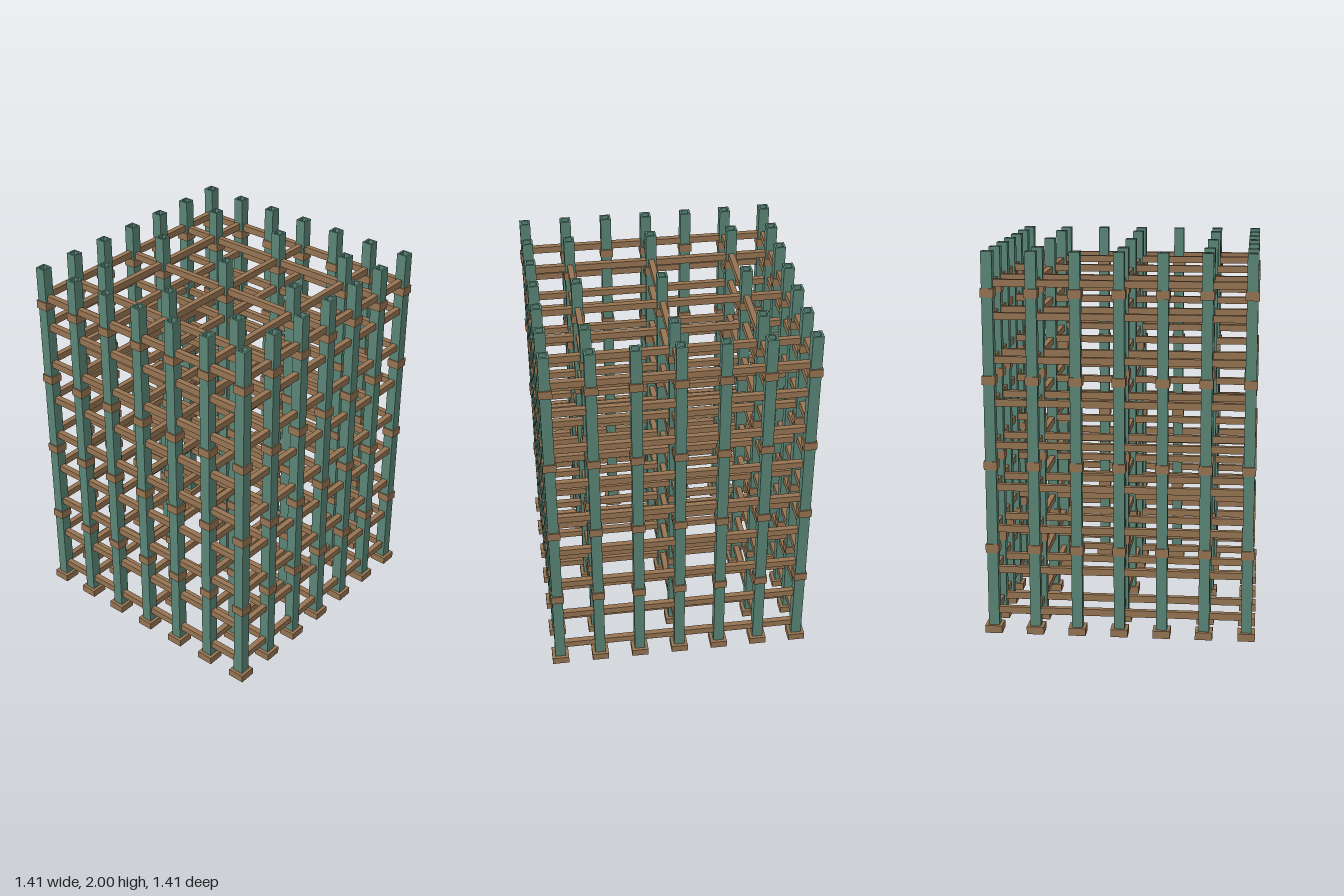
import * as THREE from 'three';

const GRID = 0.22;   // spacing of the posts
const EDGE = 0.66;   // outermost post line
const HEIGHT = 2;

function squarePath(PathType, size) {
  const h = size / 2;
  const p = new PathType();
  p.moveTo(-h, -h);
  p.lineTo(h, -h);
  p.lineTo(h, h);
  p.lineTo(-h, h);
  p.closePath();
  return p;
}

// Upright square tube, standing on y = 0
function squareTube(outer, inner, height) {
  const shape = squarePath(THREE.Shape, outer);
  shape.holes.push(squarePath(THREE.Path, inner));
  const geo = new THREE.ExtrudeGeometry(shape, { depth: height, bevelEnabled: false });
  geo.rotateX(-Math.PI / 2);
  return geo;
}

export function createModel() {
  const green = new THREE.MeshStandardMaterial({ color: 0x5a8676 });
  green.name = 'postGreen';
  const brown = new THREE.MeshStandardMaterial({ color: 0x967452 });
  brown.name = 'timberBrown';

  const model = new THREE.Group();
  model.name = 'scaffold';

  const add = (parent, name, geo, mat, x, y, z) => {
    const mesh = new THREE.Mesh(geo, mat);
    mesh.name = name;
    mesh.position.set(x, y, z);
    parent.add(mesh);
  };

  // Posts: every grid point on the perimeter, a sparser set inside
  const postGeo = squareTube(0.056, 0.036, HEIGHT - 0.03);
  const collarGeo = squareTube(0.069, 0.054, 0.045);
  const footGeo = new THREE.BoxGeometry(0.09, 0.04, 0.09);
  const collarLevels = [0.46, 0.904, 1.348, 1.792];

  for (let i = -3; i <= 3; i++) {
    for (let j = -3; j <= 3; j++) {
      const perimeter = Math.abs(i) === 3 || Math.abs(j) === 3;
      const inside = Math.abs(i) !== 1 && Math.abs(j) !== 1;
      if (!perimeter && !inside) continue;
      const column = new THREE.Group();
      column.name = 'column';
      column.position.set(i * GRID, 0, j * GRID);
      add(column, 'post', postGeo, green, 0, 0.03, 0);
      add(column, 'foot', footGeo, brown, 0, 0.02, 0);
      for (const y of collarLevels) add(column, 'collar', collarGeo, brown, 0, y - 0.0225, 0);
      model.add(column);
    }
  }

  // Rails: nine levels, running both ways, the lengthwise ones slightly higher
  const railGeoX = new THREE.BoxGeometry(2 * EDGE, 0.036, 0.03);
  const railGeoZ = new THREE.BoxGeometry(0.03, 0.036, 2 * EDGE);
  const levels = [];
  for (let k = 0; k < 8; k++) levels.push(0.108 + k * 0.2222);
  levels.push(1.83);

  for (const y of levels) {
    for (const line of [-3, -2, 0, 2, 3]) {
      add(model, 'crossRail', railGeoX, brown, 0, y, line * GRID);
      add(model, 'lengthRail', railGeoZ, brown, line * GRID, y + 0.011, 0);
    }
  }

  return model;
}
